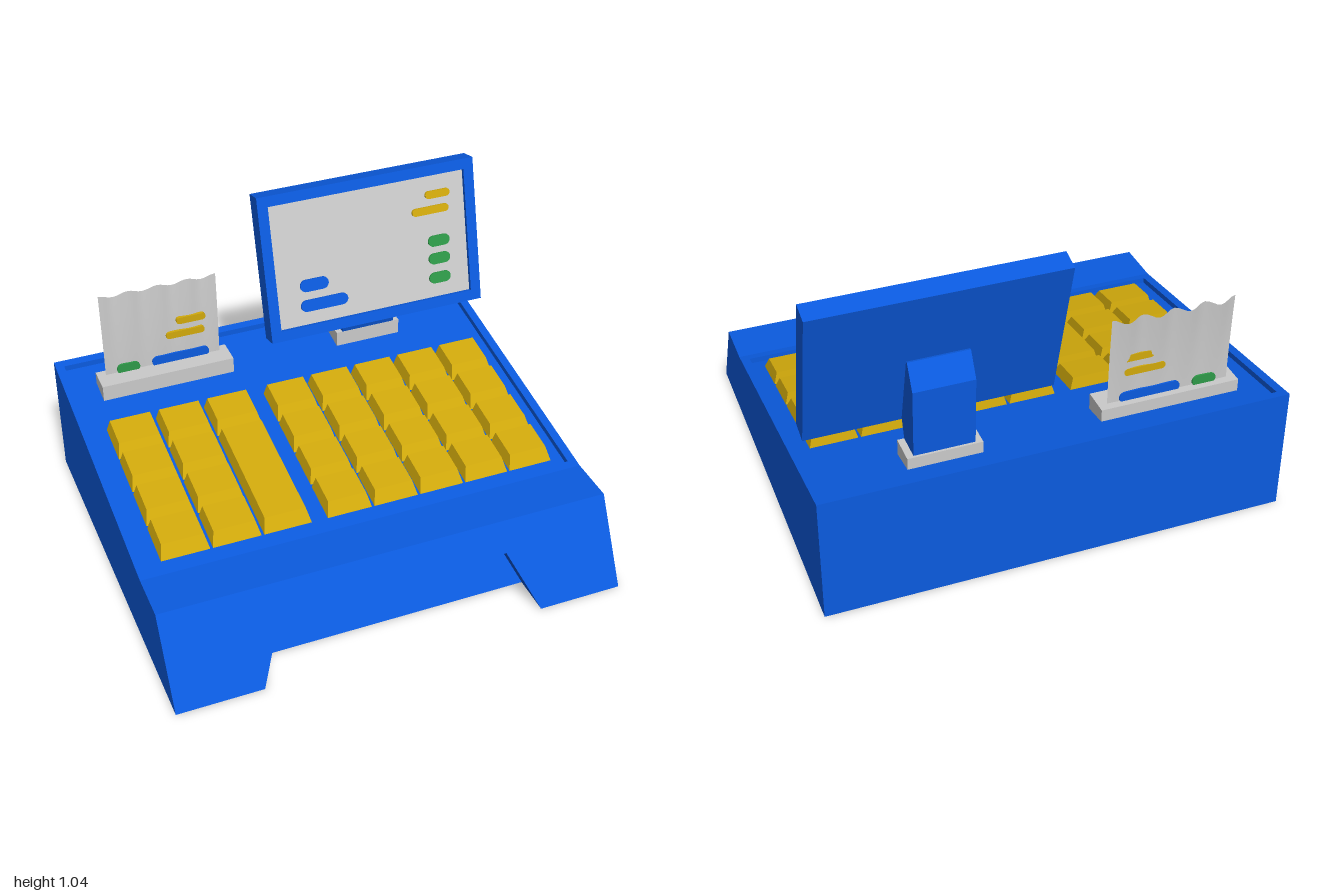
import * as THREE from 'three';

const mat = (color) => new THREE.MeshStandardMaterial({ color });
const BLUE = mat(0x0b5be0), GOLD = mat(0xd2aa0c), GREEN = mat(0x2e9a48), GREY = mat(0xcccccc);
const PAPER = new THREE.MeshStandardMaterial({ color: 0xcccccc, side: THREE.DoubleSide });

const shapeOf = (pts) => new THREE.Shape(pts.map(([x, y]) => new THREE.Vector2(x, y)));
const extrude = (shape, depth) =>
  new THREE.ExtrudeGeometry(shape, { depth, bevelEnabled: false, curveSegments: 8 });

function add(parent, name, geometry, material, x = 0, y = 0, z = 0) {
  const mesh = new THREE.Mesh(geometry, material);
  mesh.name = name;
  mesh.position.set(x, y, z);
  parent.add(mesh);
  return mesh;
}

// move every vertex by a rule
function warp(geometry, rule) {
  const p = geometry.attributes.position, v = new THREE.Vector3();
  for (let i = 0; i < p.count; i++) {
    rule(v.fromBufferAttribute(p, i));
    p.setXYZ(i, v.x, v.y, v.z);
  }
  geometry.computeVertexNormals();
  return geometry;
}

// lay a geometry on the sloping top (y = 0 becomes the slope)
const SLOPE = 0.16 / 1.04;
const onSlope = (geometry) => warp(geometry, (v) => { v.y += 0.285 + (0.36 - v.z) * SLOPE; });

// side profile given as [z, y], extruded across x
function sideExtrude(profile, width) {
  const g = extrude(shapeOf(profile.map(([z, y]) => [-z, y])), width);
  return g.rotateY(Math.PI / 2).translate(-width / 2, 0, 0);
}

function rectFrame(x0, y0, x1, y1, rim) {
  const s = shapeOf([[x0, y0], [x1, y0], [x1, y1], [x0, y1]]);
  const a = x0 + rim, b = y0 + rim, c = x1 - rim, d = y1 - rim;
  s.holes.push(new THREE.Path([[a, b], [a, d], [c, d], [c, b]].map(([x, y]) => new THREE.Vector2(x, y))));
  return s;
}

// rounded bar used as a display mark
function pill(w, h, depth = 0.012) {
  const s = new THREE.Shape(), r = h / 2, e = w / 2 - r;
  s.absarc(e, 0, r, -Math.PI / 2, Math.PI / 2);
  s.absarc(-e, 0, r, Math.PI / 2, Math.PI * 1.5);
  return extrude(s, depth);
}

// key cap with a deep front bevel
function key(x0, x1, z0, z1) {
  const g = new THREE.BoxGeometry(x1 - x0, 0.045, z1 - z0);
  warp(g, (v) => {
    if (v.y > 0) {
      v.x -= Math.sign(v.x) * 0.012;
      v.z -= v.z > 0 ? 0.028 : -0.008;
    }
  });
  return onSlope(g.translate((x0 + x1) / 2, 0, (z0 + z1) / 2));
}

function addBody(root) {
  const body = new THREE.Group();
  body.name = 'body';
  root.add(body);
  add(body, 'housing', sideExtrude(
    [[-0.68, 0], [0.54, 0], [0.385, 0.285], [0.36, 0.285], [0.36, 0.265], [-0.68, 0.425]], 1.56), BLUE);
  // leaning front wall with a trapezoid opening
  const front = extrude(shapeOf([[-0.78, 0], [-0.487, 0], [-0.397, 0.19], [0.397, 0.19],
    [0.487, 0], [0.78, 0], [0.78, 0.285], [-0.78, 0.285]]), 0.14);
  add(body, 'frontWall', warp(front, (v) => { v.z += 0.54 - v.y * 0.155 / 0.285; }), BLUE);
  // raised rim around the key panel
  const rim = extrude(rectFrame(-0.78, -0.36, 0.78, 0.68, 0.03), 0.02);
  add(body, 'topRim', onSlope(rim.rotateX(-Math.PI / 2).translate(0, -0.02, 0)), BLUE);
}

function addKeys(root) {
  const keys = new THREE.Group();
  keys.name = 'keys';
  root.add(keys);
  const top = -0.328, pitch = 0.1555, gap = 0.004;
  const place = (name, x, w, row, rows = 1) => add(keys, name,
    key(x + gap, x + w - gap, top + row * pitch + gap, top + (row + rows) * pitch - gap), GOLD);
  for (let row = 0; row < 4; row++) {
    for (let col = 0; col < 5; col++) place('mainKey', -0.123 + col * 0.167, 0.167, row);
    for (let col = 0; col < 2; col++) place('sideKey', -0.695 + col * 0.175, 0.175, row);
  }
  place('sideKey', -0.345, 0.175, 0);
  place('tallKey', -0.345, 0.175, 1, 3);
}

function addDisplay(root) {
  add(root, 'standPlate', new THREE.BoxGeometry(0.245, 0.06, 0.1), GREY, 0.345, 0.42, -0.525);
  add(root, 'standNeck', sideExtrude(
    [[-0.565, 0.4], [-0.49, 0.4], [-0.45, 0.54], [-0.47, 0.76], [-0.53, 0.77], [-0.575, 0.69]], 0.2),
    BLUE, 0.345);
  const display = new THREE.Group();
  display.name = 'display';
  display.position.set(0.35, 0.775, -0.487);
  display.rotation.x = -0.253;
  root.add(display);
  add(display, 'displayBack', new THREE.BoxGeometry(0.815, 0.53, 0.05), BLUE, 0, 0, -0.01);
  // bezel slopes in towards the screen
  const bezel = extrude(rectFrame(-0.4075, -0.265, 0.4075, 0.265, 0.038), 0.02);
  add(display, 'bezel', bezel, BLUE, 0, 0, 0.015);
  add(display, 'screen', new THREE.BoxGeometry(0.739, 0.454, 0.01), GREY, 0, 0, 0.016);
  const marks = [
    [GOLD, 0.266, 0.155, 0.095, 0.028], [GOLD, 0.235, 0.1, 0.142, 0.028],
    [GREEN, 0.26, -0.017, 0.083, 0.04], [GREEN, 0.258, -0.083, 0.083, 0.04],
    [GREEN, 0.255, -0.155, 0.083, 0.04],
    [BLUE, -0.227, -0.083, 0.107, 0.044], [BLUE, -0.195, -0.157, 0.178, 0.042],
  ];
  for (const [m, x, y, w, h] of marks) add(display, 'screenMark', pill(w, h), m, x, y, 0.016);
}

function addReceipt(root) {
  add(root, 'paperSlot', new THREE.BoxGeometry(0.48, 0.06, 0.095), GREY, -0.42, 0.42, -0.51);
  // paper with soft folds and a wavy torn edge
  const paper = new THREE.PlaneGeometry(0.42, 0.34, 32, 8);
  warp(paper, (v) => {
    const t = (v.y + 0.17) / 0.34, wave = Math.cos((v.x + 0.21) / 0.42 * Math.PI * 8);
    v.y += wave * 0.009 * t;
    v.z += wave * 0.005 * t - 0.012 * t * t;
  });
  add(root, 'receiptPaper', paper, PAPER, -0.42, 0.59, -0.53);
  const marks = [
    [GOLD, 0.11, 0.612, 0.107, 0.026], [GOLD, 0.087, 0.559, 0.142, 0.026],
    [GREEN, -0.127, 0.463, 0.083, 0.04], [BLUE, 0.065, 0.463, 0.21, 0.04],
  ];
  for (const [m, x, y, w, h] of marks) add(root, 'receiptMark', pill(w, h), m, -0.42 + x, y, -0.536);
}

export function createModel() {
  const model = new THREE.Group();
  model.name = 'cashRegister';
  const register = new THREE.Group();
  register.name = 'register';
  register.rotation.y = 0.444;
  model.add(register);
  addBody(register);
  addKeys(register);
  addDisplay(register);
  addReceipt(register);
  return model;
}
